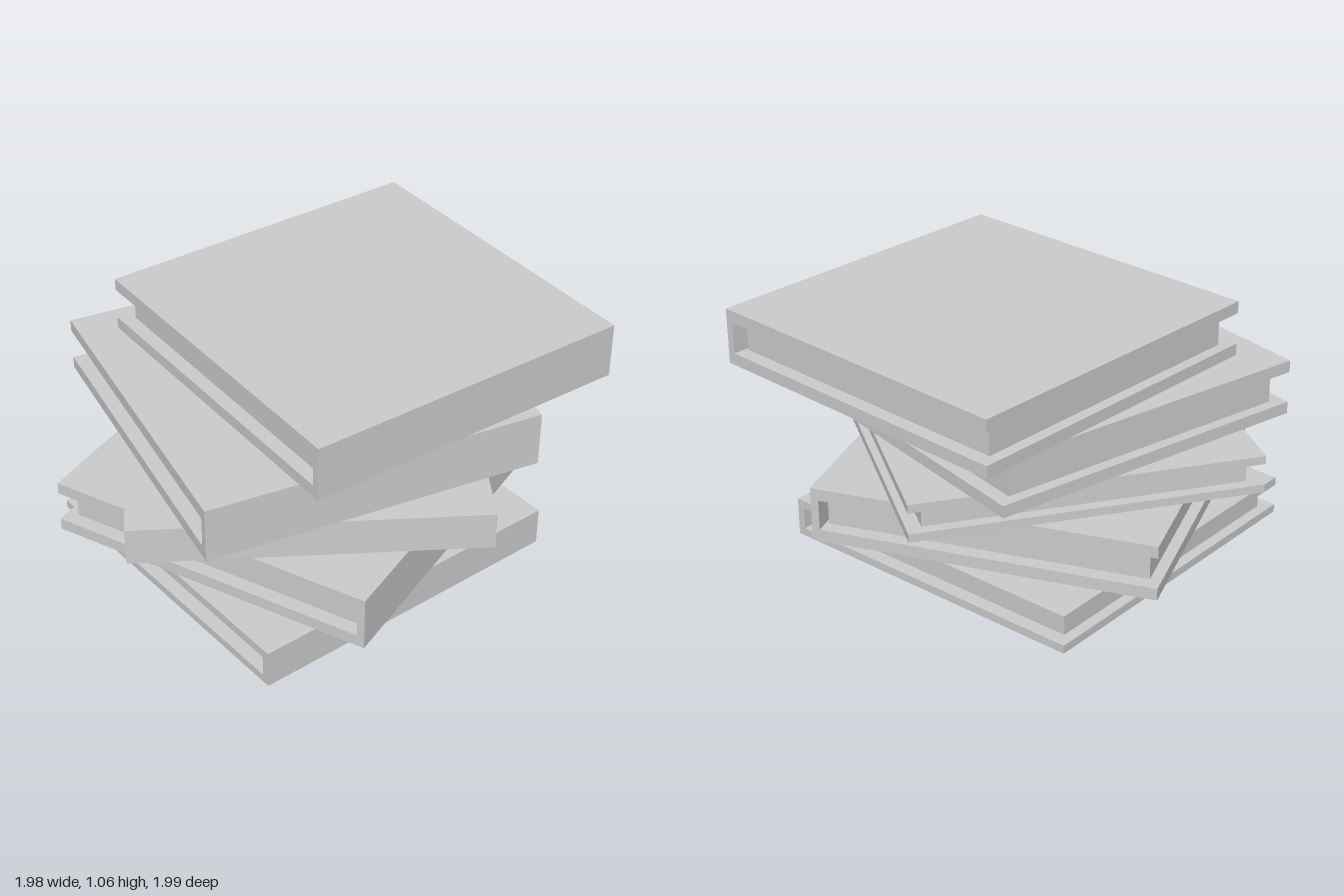
import * as THREE from 'three';

const SIDE = 1.425;   // cover width and depth
const SPINE = 0.033;  // spine thickness
const INSET = 0.06;   // page recess at head and tail

const material = new THREE.MeshStandardMaterial({ color: 0xcccccc, flatShading: true });

function addBox(parent, name, [w, h, d], [x, y, z]) {
  const mesh = new THREE.Mesh(new THREE.BoxGeometry(w, h, d), material);
  mesh.name = name;
  mesh.position.set(x, y, z);
  parent.add(mesh);
}

// One hardback: two covers, a spine on +x and a recessed page block
function makeBook(height, cover) {
  const book = new THREE.Group();
  const inner = height - 2 * cover;
  addBox(book, 'bottomCover', [SIDE, cover, SIDE], [0, cover / 2, 0]);
  addBox(book, 'topCover', [SIDE, cover, SIDE], [0, height - cover / 2, 0]);
  addBox(book, 'spine', [SPINE, inner, SIDE], [(SIDE - SPINE) / 2, height / 2, 0]);
  addBox(book, 'pages', [1.332, inner, SIDE - 2 * INSET], [0, height / 2, 0]);
  return book;
}

// Stack from the floor up: bottom, height, cover thickness, turn, x, z
const stack = [
  [0, 0.165, 0.035, 0, 0, 0],
  [0.173, 0.234, 0.051, 0.366, 0, 0],
  [0.412, 0.16, 0.035, -0.598, 0, 0],
  [0.581, 0.234, 0.051, -0.226, 0, 0.005],
  [0.826, 0.234, 0.051, -0.056, 0.08, -0.248],
];

export function createModel() {
  const model = new THREE.Group();
  model.name = 'bookStack';
  stack.forEach(([y, height, cover, turn, x, z], i) => {
    const book = makeBook(height, cover);
    book.name = `book${i + 1}`;
    book.position.set(x, y, z);
    book.rotation.y = turn;
    model.add(book);
  });
  return model;
}
